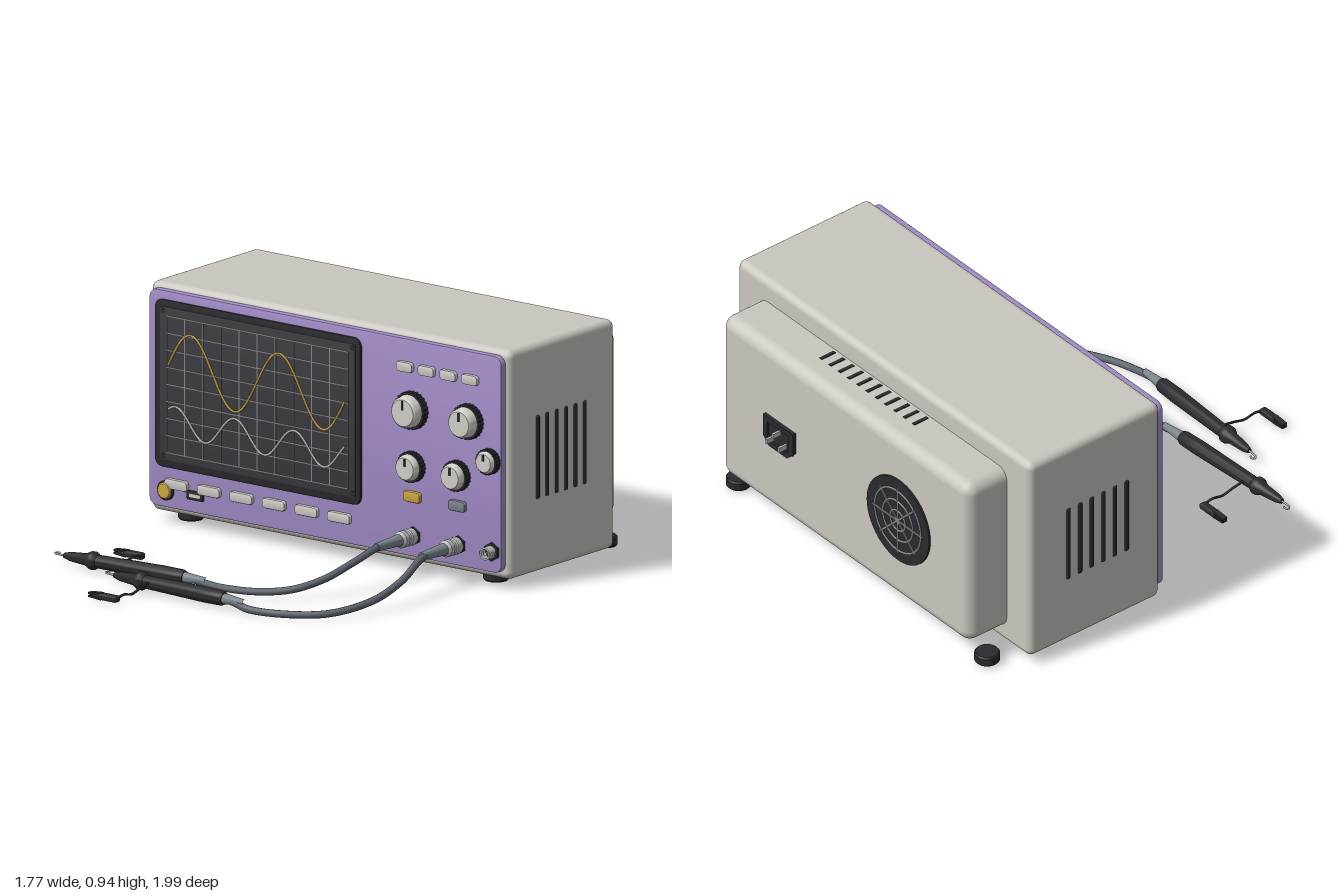
import * as THREE from 'three';
import { RoundedBoxGeometry } from 'three/addons/geometries/RoundedBoxGeometry.js';
import { toCreasedNormals } from 'three/addons/utils/BufferGeometryUtils.js';

const mat = (name, color) => {
  const m = new THREE.MeshStandardMaterial({ color });
  m.name = name;
  return m;
};
const V = (x, y, z) => new THREE.Vector3(x, y, z);

export function createModel() {
  const root = new THREE.Group();
  root.name = 'oscilloscope';
  const M = {
    body: mat('warm grey', 0xcac7c0),
    panel: mat('lavender', 0xa48fca),
    dark: mat('charcoal', 0x2b2a2e),
    screen: mat('screen grey', 0x3b3a40),
    yellow: mat('amber', 0xd0a742),
    slate: mat('slate', 0x7a858d),
    cable: mat('cable grey', 0x5d646d),
    light: mat('light grey', 0xd2cfc9),
    grid: mat('grid grey', 0x85868d),
    metal: mat('silver', 0xb9bbbf),
  };

  const add = (name, geo, m, x = 0, y = 0, z = 0, parent = root) => {
    const mesh = new THREE.Mesh(geo, m);
    mesh.name = name;
    mesh.position.set(x, y, z);
    parent.add(mesh);
    return mesh;
  };
  const box = (name, w, h, d, m, x, y, z, parent) =>
    add(name, new THREE.BoxGeometry(w, h, d), m, x, y, z, parent);

  // Rounded rectangle plate from z0 to z1 with a small bevel
  const plate = (name, w, h, r, z0, z1, m, x, y, bevel = 0.004) => {
    const s = new THREE.Shape();
    const a = w / 2 - bevel, b = h / 2 - bevel;
    s.moveTo(-a + r, -b);
    s.lineTo(a - r, -b).absarc(a - r, -b + r, r, -Math.PI / 2, 0);
    s.lineTo(a, b - r).absarc(a - r, b - r, r, 0, Math.PI / 2);
    s.lineTo(-a + r, b).absarc(-a + r, b - r, r, Math.PI / 2, Math.PI);
    s.lineTo(-a, -b + r).absarc(-a + r, -b + r, r, Math.PI, Math.PI * 1.5);
    const g = new THREE.ExtrudeGeometry(s, {
      depth: z1 - z0 - 2 * bevel, bevelEnabled: bevel > 0, bevelSize: bevel,
      bevelThickness: bevel, bevelSegments: 2, curveSegments: 6,
    });
    return add(name, toCreasedNormals(g, 0.6), m, x, y, z0 + bevel);
  };

  // Turned part whose axis runs along dir; profile is [radius, distance] pairs
  const turned = (name, profile, m, pos, dir = V(0, 0, 1), parent = root, seg = 28) => {
    const pts = profile.map(([r, h]) => new THREE.Vector2(r, h));
    const mesh = add(name, toCreasedNormals(new THREE.LatheGeometry(pts, seg), 0.6), m, pos.x, pos.y, pos.z, parent);
    mesh.quaternion.setFromUnitVectors(V(0, 1, 0), dir.clone().normalize());
    return mesh;
  };
  const tube = (name, pts, r, m, seg = 60, sides = 10, parent = root) =>
    add(name, new THREE.TubeGeometry(new THREE.CatmullRomCurve3(pts), seg, r, sides), m, 0, 0, 0, parent);

  // Case, rear housing and front panel
  add('case', new RoundedBoxGeometry(1.76, 0.905, 0.65, 4, 0.03), M.body, 0, 0.4925, -0.44);
  add('rearHousing', new RoundedBoxGeometry(1.485, 0.74, 0.3, 5, 0.05), M.body, 0, 0.48, -0.807);
  plate('frontPanel', 1.72, 0.855, 0.03, -0.125, -0.09, M.panel, -0.003, 0.497);

  // Feet
  for (const x of [-0.745, 0.745]) for (const z of [-0.2, -0.865])
    turned('foot', [[0, 0], [0.045, 0], [0.05, 0.006], [0.05, 0.035], [0.045, 0.042], [0, 0.042]], M.dark, V(x, 0.008, z), V(0, 1, 0));

  // Ventilation slots on both sides and on top of the rear housing
  for (const s of [-1, 1]) for (let i = 0; i < 6; i++)
    add('sideVent', new RoundedBoxGeometry(0.014, 0.33, 0.02, 2, 0.006), M.dark, s * 0.878, 0.497, -0.285 - i * 0.0577);
  for (let i = 0; i < 11; i++)
    box('topVent', 0.015, 0.008, 0.07, M.dark, -0.28 + i * 0.0556, 0.849, -0.812);

  // Screen with bezel, corner screws, grid and two traces
  plate('screenBezel', 1.005, 0.66, 0.03, -0.095, -0.08, M.dark, -0.327, 0.56);
  plate('screen', 0.955, 0.605, 0.012, -0.082, -0.077, M.screen, -0.324, 0.562, 0.001);
  for (const x of [-0.787, 0.139]) for (const y of [0.275, 0.85])
    turned('bezelScrew', [[0.01, 0], [0.01, 0.003], [0, 0.003]], M.dark, V(x, y, -0.078), undefined, root, 10);
  for (let i = 0; i <= 10; i++) box('gridLine', 0.004, 0.54, 0.002, M.grid, -0.768 + i * 0.0886, 0.56, -0.0765);
  for (let i = 0; i <= 8; i++) box('gridLine', 0.886, 0.004, 0.002, M.grid, -0.325, 0.29 + i * 0.0675, -0.0765);
  const trace = (name, mid, amp, period, phase, m) => {
    const pts = [];
    for (let i = 0; i <= 60; i++) {
      const t = (i / 60) * 0.863;
      pts.push(V(-0.758 + t, mid + amp * Math.sin((t / period) * Math.PI * 2 + phase), -0.075));
    }
    tube(name, pts, 0.0045, m, 120, 6);
  };
  trace('upperTrace', 0.638, 0.133, 0.432, 0, M.yellow);
  trace('lowerTrace', 0.418, 0.06, 0.29, 0.85, M.metal);

  // Push buttons
  for (let i = 0; i < 4; i++) plate('upperButton', 0.078, 0.04, 0.01, -0.095, -0.075, M.light, 0.391 + i * 0.106, 0.815);
  for (let i = 0; i < 6; i++) plate('softKey', 0.11, 0.04, 0.01, -0.095, -0.075, M.light, -0.725 + i * 0.1592, 0.168);
  plate('channelOneButton', 0.082, 0.042, 0.01, -0.095, -0.075, M.yellow, 0.427, 0.307);
  plate('channelTwoButton', 0.082, 0.042, 0.01, -0.095, -0.075, M.slate, 0.647, 0.307);
  turned('powerRing', [[0.039, 0], [0.039, 0.01], [0.03, 0.01]], M.dark, V(-0.78, 0.137, -0.092));
  turned('powerButton', [[0.033, 0], [0.033, 0.016], [0.028, 0.02], [0, 0.02]], M.yellow, V(-0.78, 0.137, -0.092));

  // Data port
  plate('portFrame', 0.078, 0.036, 0.004, -0.094, -0.082, M.dark, -0.635, 0.138, 0.001);
  plate('portTongue', 0.054, 0.014, 0.002, -0.084, -0.08, M.light, -0.635, 0.138, 0.001);

  // Knobs: knurled collar, tapered cap and pointer
  const knob = (x, y, r, front) => {
    const s = new THREE.Shape();
    for (let i = 0; i < 96; i++) {
      const a = (i / 96) * Math.PI * 2, q = r * (0.975 + 0.03 * Math.cos(a * 24));
      i ? s.lineTo(q * Math.cos(a), q * Math.sin(a)) : s.moveTo(q, 0);
    }
    add('knobCollar', new THREE.ExtrudeGeometry(s, { depth: 0.03, bevelEnabled: false }), M.dark, x, y, -0.092);
    const d = front + 0.07;
    turned('knobCap', [[r * 0.86, 0], [r * 0.86, 0.012], [r * 0.8, d - 0.008], [r * 0.7, d], [0, d]], M.light, V(x, y, -0.07), undefined, root, 36);
    box('knobPointer', 0.009, r * 0.5, 0.004, M.dark, x, y + r * 0.4, front + 0.001);
  };
  knob(0.427, 0.65, 0.075, -0.022);
  knob(0.702, 0.65, 0.07, -0.022);
  knob(0.427, 0.427, 0.061, -0.035);
  knob(0.647, 0.427, 0.061, -0.035);
  knob(0.803, 0.508, 0.051, -0.045);

  // Coaxial sockets
  for (const x of [0.427, 0.647, 0.813]) {
    turned('socketNut', [[0.037, 0], [0.037, 0.012], [0.024, 0.012]], M.dark, V(x, 0.152, -0.092), undefined, root, 6);
    turned('socket', [[0.025, 0], [0.025, 0.05], [0.018, 0.05], [0.018, 0.02], [0, 0.02]], M.metal, V(x, 0.152, -0.092));
    if (x < 0.7) continue;
    turned('socketPin', [[0.007, 0], [0.007, 0.028], [0, 0.028]], M.metal, V(x, 0.152, -0.073), undefined, root, 10);
    turned('socketCore', [[0.018, 0], [0.018, 0.003], [0, 0.003]], M.dark, V(x, 0.152, -0.073));
    for (const s of [-1, 1]) box('socketLug', 0.012, 0.01, 0.01, M.metal, x + s * 0.028, 0.152, -0.055);
  }

  // Probe lead: plug, strain reliefs, cable, probe handle, hook, earth wire and clip
  const probe = (name, x, path, start, end, earth, side) => {
    const g = new THREE.Group();
    g.name = name;
    root.add(g);
    turned('plug', [[0.03, 0], [0.034, 0.004], [0.034, 0.03], [0.029, 0.034], [0.029, 0.045], [0.033, 0.05], [0.033, 0.07], [0.024, 0.08], [0, 0.08]],
      M.metal, V(x, 0.152, -0.08), undefined, g);
    turned('plugStrainRelief', [[0.024, 0], [0.022, 0.03], [0.016, 0.14], [0, 0.14]], M.slate, V(x, 0.152, -0.003), undefined, g);
    tube('cable', path, 0.0145, M.cable, 80, 10, g);
    const dir = end.clone().sub(start).normalize(), L = end.distanceTo(start);
    turned('probeStrainRelief', [[0.013, -0.1], [0.022, 0.01], [0, 0.01]], M.slate, start, dir, g);
    turned('probeHandle', [[0, 0], [0.024, 0], [0.029, 0.012], [0.031, 0.1], [0.027, L - 0.2], [0.026, L - 0.16],
      [0.036, L - 0.145], [0.036, L - 0.13], [0.024, L - 0.105], [0.018, L - 0.03], [0.01, L], [0, L]], M.dark, start, dir, g);
    const at = (d, up = 0, dz = 0) => end.clone().addScaledVector(dir, d).add(V(0, up, dz));
    tube('hookTip', [at(-0.01), at(0.025), at(0.045, 0, -0.004), at(0.052, 0, -0.014), at(0.042, 0, -0.022), at(0.03, 0, -0.018)], 0.004, M.metal, 24, 6, g);
    const [ex, z0, z1] = earth;
    const mid = (t, y) => V(ex, y, z0 + (z1 - z0) * t);
    tube('earthWire', [mid(0, 0.045), mid(0.3, 0.034), mid(0.55, 0.022), mid(0.8, 0.03), mid(1, 0.021)], 0.005, M.dark, 30, 6, g);
    add('earthClip', new RoundedBoxGeometry(0.09, 0.026, 0.032, 2, 0.008), M.dark, ex - 0.038, 0.021, z1, g);
    for (const s of [-1, 1]) {
      const jaw = box('clipJaw', 0.06, 0.008, 0.024, M.dark, ex - 0.1, 0.021 + s * 0.008, z1, g);
      jaw.rotation.z = s * 0.08;
    }
  };
  probe('leftHandProbe', 0.427,
    [V(0.427, 0.152, 0), V(0.427, 0.15, 0.13), V(0.42, 0.118, 0.27), V(0.385, 0.074, 0.41), V(0.31, 0.042, 0.505),
      V(0.19, 0.026, 0.565), V(0.03, 0.025, 0.6), V(-0.05, 0.034, 0.61), V(-0.13, 0.04, 0.611)],
    V(-0.13, 0.04, 0.611), V(-0.7, 0.04, 0.636), [-0.505, 0.62, 0.405]);
  probe('rightHandProbe', 0.647,
    [V(0.647, 0.152, 0), V(0.652, 0.15, 0.13), V(0.686, 0.095, 0.31), V(0.678, 0.05, 0.48), V(0.6, 0.022, 0.645),
      V(0.46, 0.016, 0.74), V(0.31, 0.02, 0.78), V(0.25, 0.032, 0.776), V(0.19, 0.04, 0.77)],
    V(0.19, 0.04, 0.77), V(-0.365, 0.04, 0.75), [-0.175, 0.77, 0.975]);

  // Fan grille on the rear
  const back = V(0, 0, -1);
  turned('fanOpening', [[0.187, 0], [0.187, 0.01], [0, 0.01]], M.dark, V(-0.33, 0.48, -0.955), back, root, 48);
  for (const r of [0.045, 0.09, 0.138])
    add('fanRing', new THREE.TorusGeometry(r, 0.005, 6, 48), M.grid, -0.33, 0.48, -0.966);
  for (let i = 0; i < 4; i++)
    box('fanSpoke', 0.3, 0.009, 0.006, M.grid, -0.33, 0.48, -0.966).rotation.z = (i * Math.PI) / 4;

  // Power inlet with chamfered lower corners and three pins
  const inlet = new THREE.Shape([[-0.09, 0.065], [-0.09, -0.03], [-0.055, -0.065], [0.055, -0.065], [0.09, -0.03], [0.09, 0.065]]
    .map(([x, y]) => new THREE.Vector2(x, y)));
  const inner = new THREE.Path([[-0.065, 0.043], [0.065, 0.043], [0.065, -0.022], [0.045, -0.043], [-0.045, -0.043], [-0.065, -0.022]]
    .map(([x, y]) => new THREE.Vector2(x, y)));
  inlet.holes.push(inner);
  add('powerInlet', new THREE.ExtrudeGeometry(inlet, { depth: 0.02, bevelEnabled: false }), M.dark, 0.382, 0.475, -0.972);
  box('inletFloor', 0.15, 0.1, 0.01, M.dark, 0.382, 0.475, -0.956);
  for (const [x, y] of [[-0.037, -0.022], [0, 0.022], [0.037, -0.022]])
    box('inletPin', 0.01, 0.022, 0.045, M.metal, 0.382 + x, 0.474 + y, -0.977);

  return root;
}
